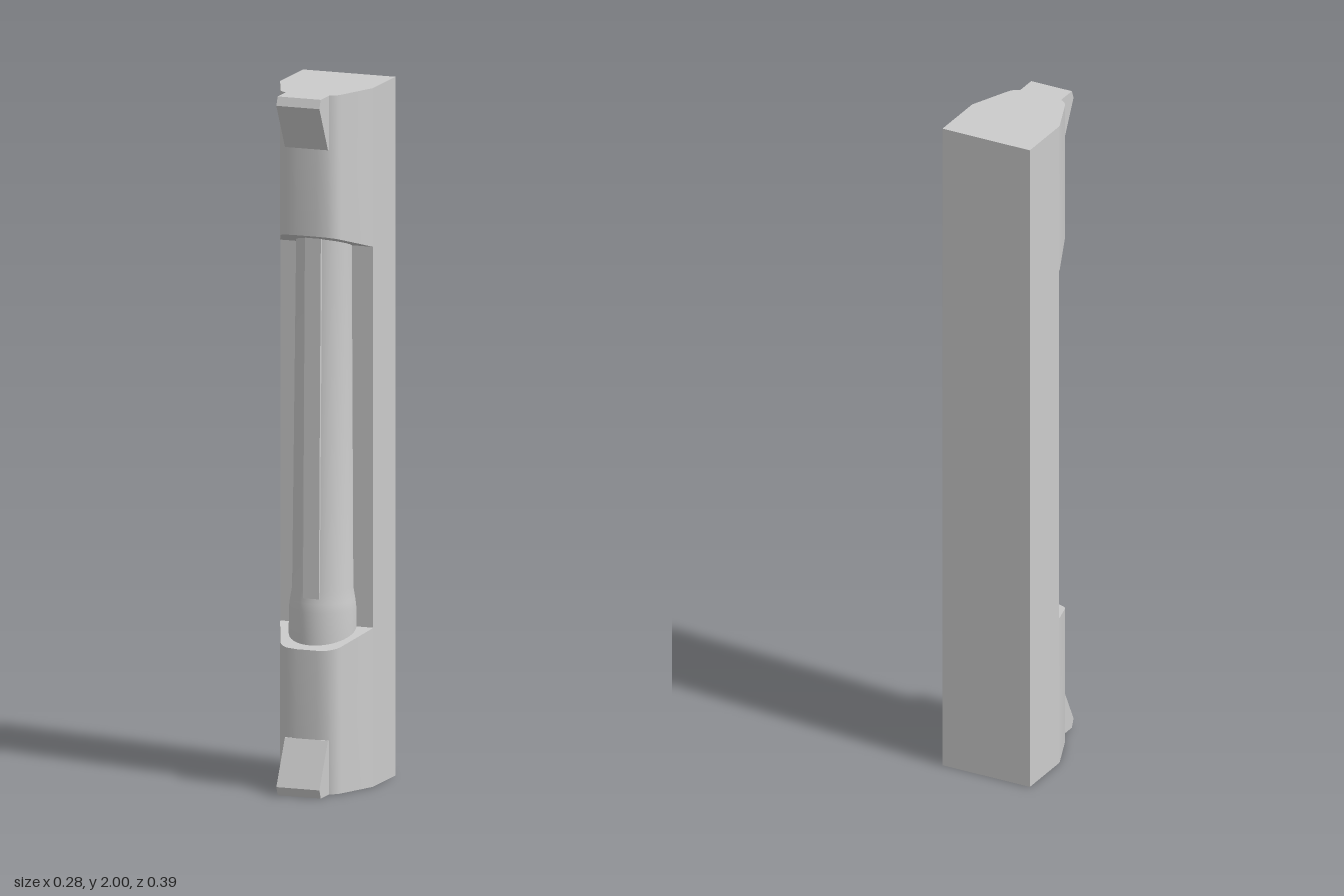
import * as THREE from 'three';
import { toCreasedNormals } from 'three/addons/utils/BufferGeometryUtils.js';

const material = new THREE.MeshStandardMaterial({ color: 0xcccccc });

function part(name, geometry) {
  const mesh = new THREE.Mesh(geometry, material);
  mesh.name = name;
  return mesh;
}

// Move every vertex of a geometry by a rule
function bend(geometry, rule) {
  const p = geometry.attributes.position;
  const v = new THREE.Vector3();
  for (let i = 0; i < p.count; i++) {
    v.fromBufferAttribute(p, i);
    rule(v);
    p.setXYZ(i, v.x, v.y, v.z);
  }
  geometry.computeVertexNormals();
  return geometry;
}

// Tapered front block of one end; its inner end is cut at a slant
function endBlock(name, top, bottom) {
  const half = [[0.139, -0.025], [0.139, -0.02], [0.092, 0.096], [0.086, 0.107], [0.078, 0.115], [0.062, 0.125], [0.03, 0.13]];
  const outline = [...half, ...half.slice().reverse().map(([x, z]) => [-x, z])];
  const shape = new THREE.Shape(outline.map(([x, z]) => new THREE.Vector2(x, z)));
  const g = new THREE.ExtrudeGeometry(shape, { depth: 1, bevelEnabled: false });
  g.rotateX(Math.PI / 2);
  bend(g, v => { v.y = v.y > -0.5 ? top(v.z) : bottom(v.z); });
  return part(name, toCreasedNormals(g, 0.6));
}

// Wedge-shaped catch, extruded across x; the profile is (z, y)
function hook(name, mirror) {
  const profile = [[0.1, 0], [0.185, 0], [0.195, 0.025], [0.13, 0.155], [0.1, 0.155]];
  const pts = profile.map(([z, y]) => new THREE.Vector2(z, mirror ? 2 - y : y));
  const g = new THREE.ExtrudeGeometry(new THREE.Shape(pts), { depth: 0.13, bevelEnabled: false });
  g.rotateY(-Math.PI / 2);
  g.translate(0.065, 0, 0);
  return part(name, g);
}

export function createModel() {
  const group = new THREE.Group();

  // Full-height back
  const back = new THREE.BoxGeometry(0.28, 2, 0.17);
  back.translate(0, 1, -0.11);
  group.add(part('back', back));

  // Ends with slanted inner faces
  group.add(endBlock('upperEnd', () => 2, z => 1.545 + 0.323 * (z + 0.025)));
  group.add(endBlock('lowerEnd', z => 0.455 - 0.29 * (z + 0.025), () => 0));

  // Catches at both ends
  group.add(hook('lowerHook', false), hook('upperHook', true));

  // Tapering column that leans forward toward its thicker foot
  const lean = y => 0.012 * (1.6 - y) / 1.2 - 0.004;
  const profile = [[0.095, 0.4], [0.095, 0.51], [0.092, 0.535], [0.086, 0.57], [0.078, 1.6]];
  const column = new THREE.LatheGeometry(profile.map(([r, y]) => new THREE.Vector2(r, y)), 48);
  bend(column, v => { v.z += lean(v.y); });
  group.add(part('column', toCreasedNormals(column, 0.6)));

  // Raised strip down the front of the column
  const strip = new THREE.BoxGeometry(0.048, 1.04, 0.04);
  strip.translate(0, 1.07, 0);
  bend(strip, v => {
    const t = (v.y - 0.55) / 1.04;
    v.z = v.z > 0 ? THREE.MathUtils.lerp(0.096, 0.081, t) : 0.05;
  });
  group.add(part('columnStrip', strip));

  return group;
}
